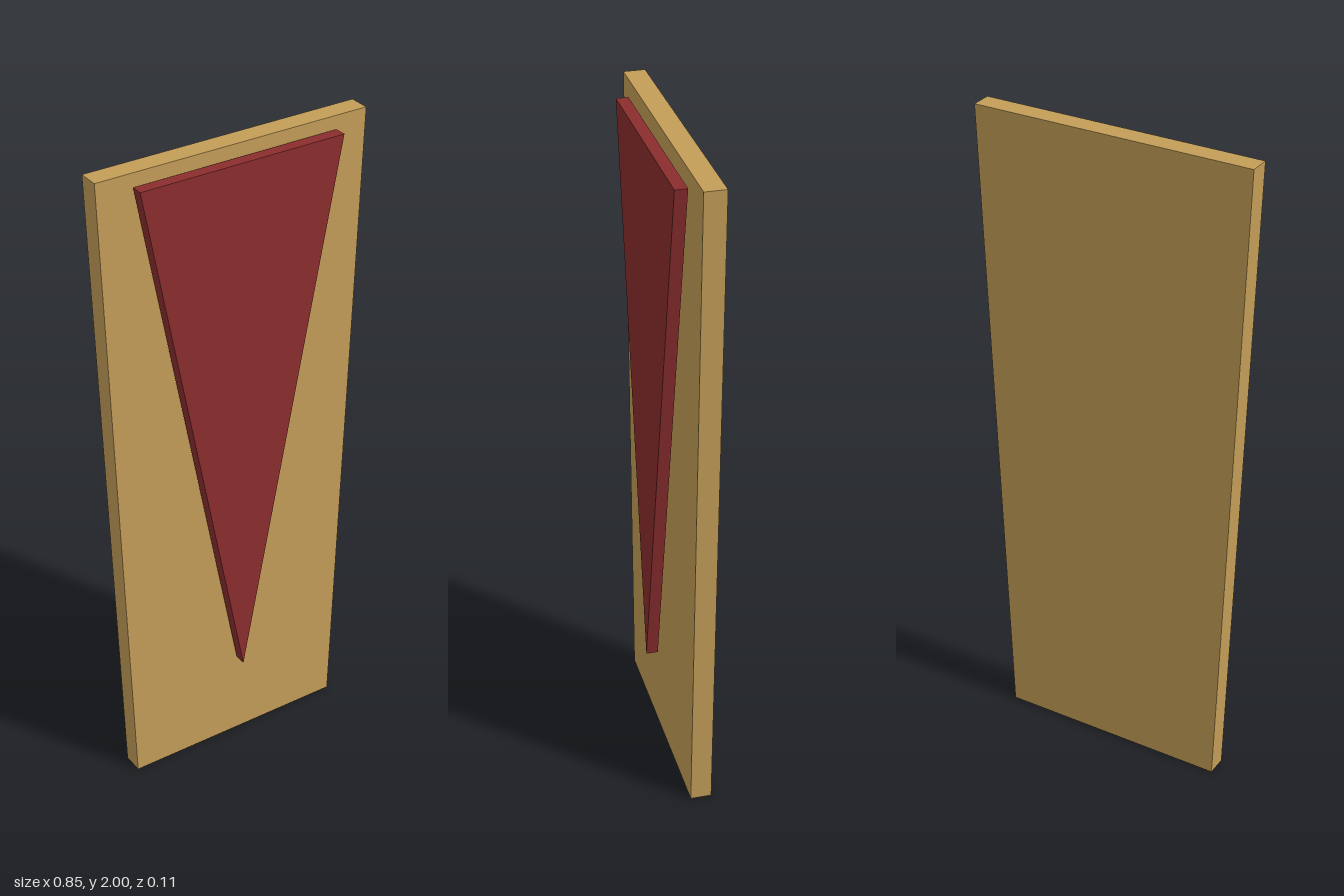
import * as THREE from 'three';

// Flat panel: an outline in the xy plane, extruded from zBack to zFront.
function panel(name, outline, zBack, zFront, color) {
  const shape = new THREE.Shape(outline.map(([x, y]) => new THREE.Vector2(x, y)));
  const geometry = new THREE.ExtrudeGeometry(shape, { depth: zFront - zBack, bevelEnabled: false });
  geometry.translate(0, 0, zBack);
  const mesh = new THREE.Mesh(geometry, new THREE.MeshStandardMaterial({ color }));
  mesh.name = name;
  return mesh;
}

export function createModel() {
  const group = new THREE.Group();
  group.name = 'taperedPanel';

  // Board, slightly wider at the top
  group.add(panel('board', [[-0.356, 0], [0.356, 0], [0.427, 2], [-0.427, 2]], -0.055, 0.008, 0xc49e58));

  // Downward-pointing triangle floating just in front of the board
  group.add(panel('triangleInlay', [[0, 0.29], [0.321, 1.965], [-0.321, 1.965]], 0.019, 0.055, 0x8b2e2e));

  return group;
}
